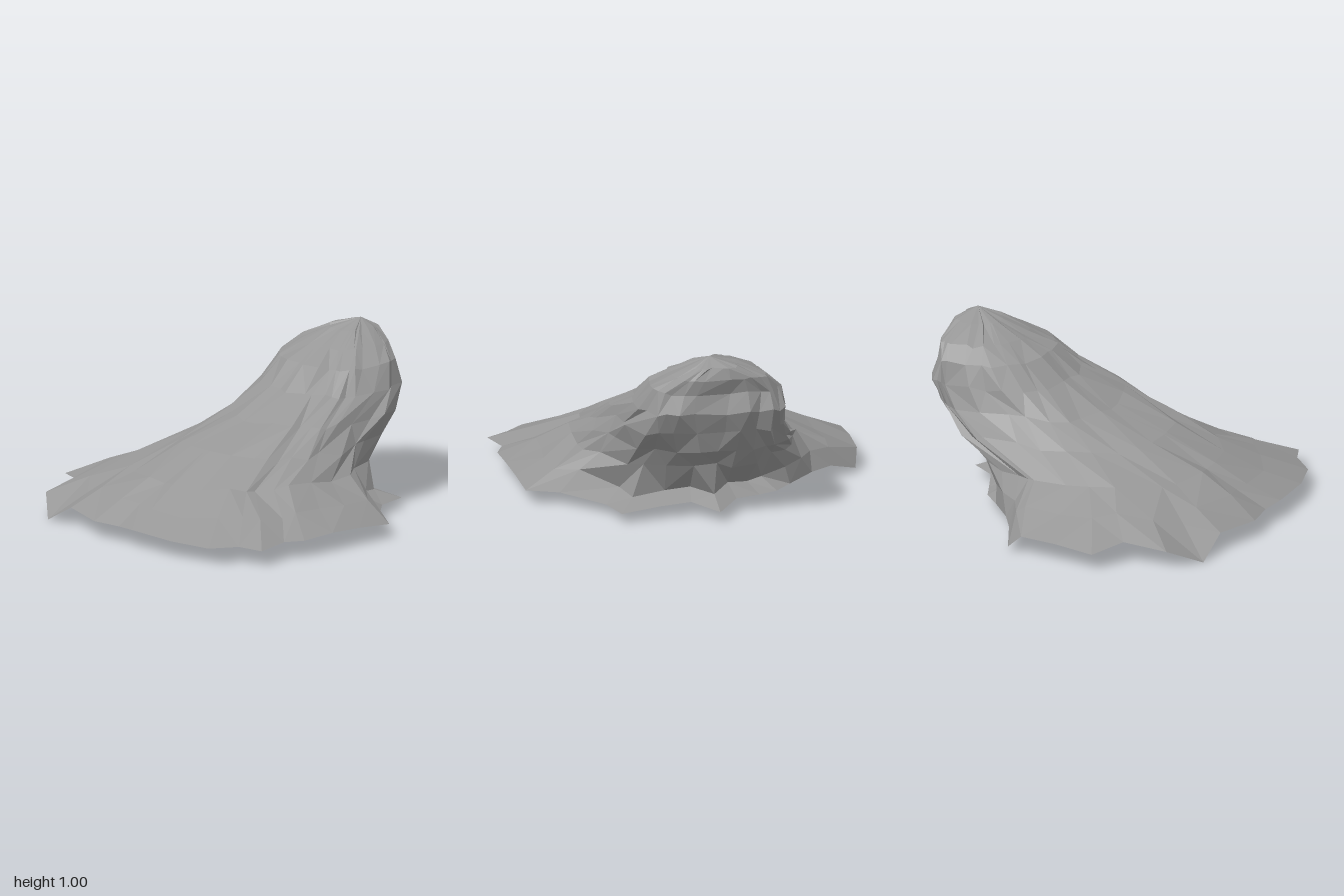
import * as THREE from 'three';

// Ragged ground outline [x, y, z], from +x round through +z
const rim = [
  [0.85, 0.06, -0.02], [0.72, 0.09, 0.12], [0.73, 0.08, 0.3], [0.76, 0.06, 0.53], [0.57, 0.06, 0.58],
  [0.36, 0.08, 0.8], [0.28, 0.08, 0.98], [0.05, 0.1, 0.99], [-0.16, 0.11, 1],
  [-0.37, 0.1, 1], [-0.48, 0.1, 0.95], [-0.68, 0.09, 0.99], [-0.74, 0.1, 0.86],
  [-0.87, 0.09, 0.75], [-0.95, 0.1, 0.52], [-0.98, 0.11, 0.22], [-0.96, 0.1, 0.08],
  [-0.99, 0.1, -0.1], [-0.92, 0.11, -0.38], [-0.92, 0, -0.58], [-0.78, 0.1, -0.76],
  [-0.53, 0.13, -0.81], [-0.43, 0.1, -1], [-0.2, 0.12, -1], [0.03, 0.12, -0.99],
  [0.13, 0.03, -0.96], [0.21, 0.08, -0.8], [0.3, 0.08, -0.67], [0.45, 0.07, -0.51],
  [0.56, 0.07, -0.41], [0.61, 0.07, -0.3], [0.68, 0.08, -0.15],
];

// Contours going up: height, left x, right x, back z, its x, front z, its x, cliff bluntness
const contours = [
  [0.3, -0.62, 0.76, -0.6, 0.12, 0.65, 0.08, 1],
  [0.42, -0.33, 0.86, -0.47, 0.55, 0.57, 0.22, 0.9],
  [0.55, 0.02, 0.93, -0.41, 0.76, 0.51, 0.38, 0.75],
  [0.68, 0.26, 0.98, -0.39, 0.82, 0.43, 0.55, 0.6],
  [0.8, 0.42, 0.95, -0.36, 0.82, 0.36, 0.66, 0.5],
  [0.88, 0.56, 0.97, -0.27, 0.84, 0.25, 0.75, 0.5],
  [0.95, 0.71, 0.96, -0.11, 0.85, 0.14, 0.83, 0.6],
];

let seed = 7;
const jitter = (amount) => {
  seed = (seed * 16807) % 2147483647;
  return (seed / 2147483647 - 0.5) * 2 * amount;
};

function contourLoop([y, left, right, back, backX, front, frontX, blunt], level) {
  const rough = 0.026 * (1 - level / 10);
  return rim.map(([rx, , rz]) => {
    const a = Math.atan2(rz, rx), c = Math.cos(a), s = Math.sin(a);
    const power = c > 0 ? blunt : 0.95;
    const centre = s > 0 ? frontX : backX;
    const x = centre + ((c > 0 ? right : left) - centre) * Math.abs(c) ** power;
    const z = (s > 0 ? front : back) * Math.abs(s) ** power;
    return [Math.min(0.99, x + jitter(rough)), y + jitter(rough * 0.7), z + jitter(rough)];
  });
}

export function createModel() {
  const rock = contours.map(contourLoop);
  // Skirt ring: a low narrow apron under the cliff, a long ramp elsewhere
  const skirt = rim.map(([x, y, z], i) => {
    if (x > 0.5) return [x * 0.83, y + 0.06 + jitter(0.01), z * 0.83];
    const [cx, cy, cz] = rock[0][i];
    return [(x + cx) / 2 + jitter(0.02), (y + cy) / 2 + jitter(0.015), (z + cz) / 2 + jitter(0.02)];
  });
  const loops = [rim, skirt, ...rock];
  const n = rim.length;
  const positions = loops.flat(2);
  const index = [];

  // Shell between neighbouring loops, with diagonals alternating irregularly
  for (let k = 0; k < loops.length - 1; k++) {
    for (let i = 0; i < n; i++) {
      const a = k * n + i, b = k * n + ((i + 1) % n), c = a + n, d = b + n;
      if (jitter(1) > 0) index.push(a, c, b, b, c, d);
      else index.push(a, c, d, a, d, b);
    }
  }

  // Summit fan
  const top = loops.length * n;
  positions.push(0.87, 1, 0.05);
  for (let i = 0; i < n; i++) index.push(top - n + i, top, top - n + ((i + 1) % n));

  const indexed = new THREE.BufferGeometry();
  indexed.setAttribute('position', new THREE.Float32BufferAttribute(positions, 3));
  indexed.setIndex(index);
  const geometry = indexed.toNonIndexed();
  geometry.computeVertexNormals();

  // Open-bottomed rock outcrop
  const outcrop = new THREE.Mesh(geometry, new THREE.MeshStandardMaterial({
    color: 0x979797, flatShading: true, side: THREE.DoubleSide,
  }));
  outcrop.name = 'rockOutcrop';
  const group = new THREE.Group();
  group.name = 'rock';
  group.add(outcrop);
  return group;
}
